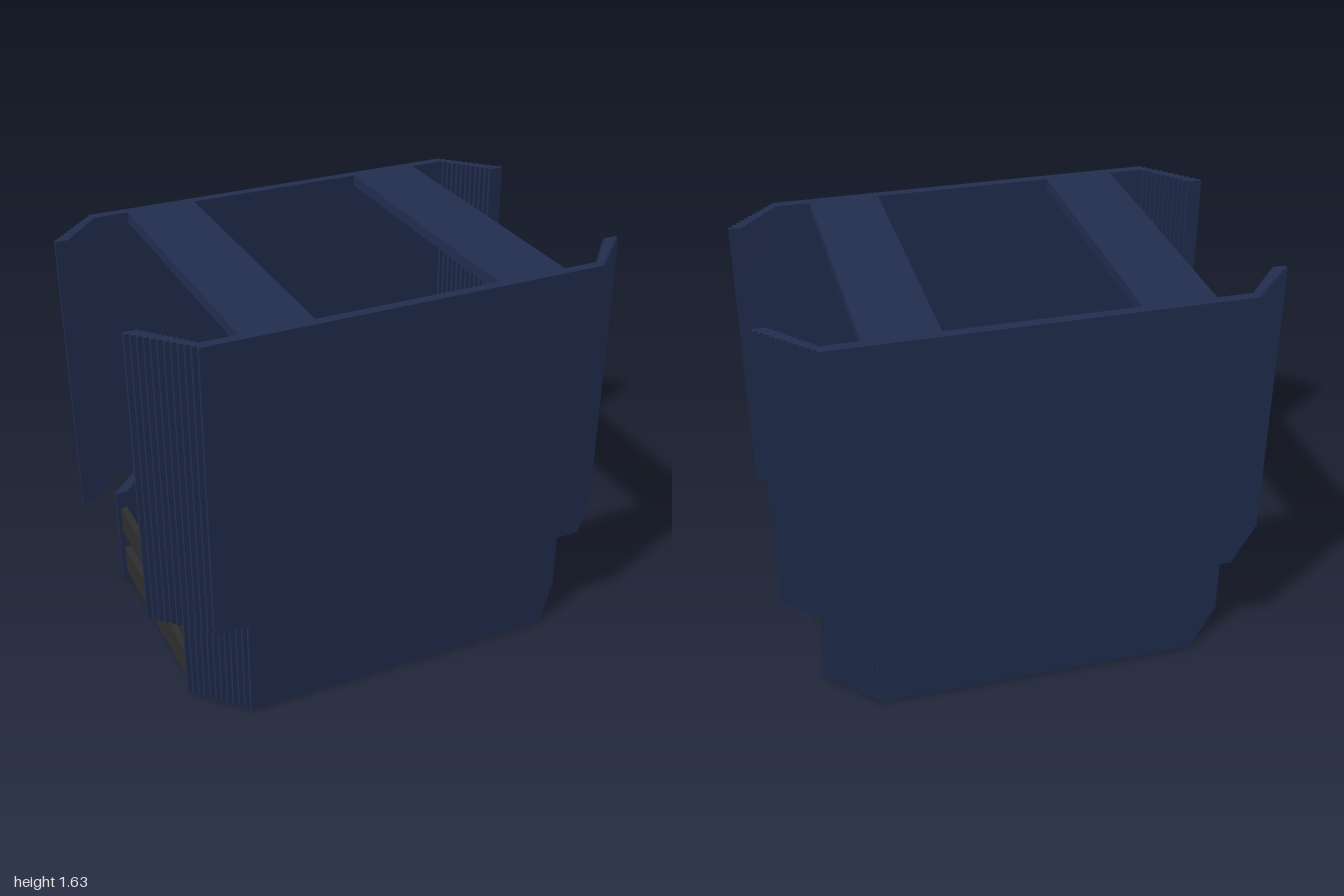
import * as THREE from 'three';

const navy = new THREE.MeshStandardMaterial({ color: 0x222d4f });
navy.name = 'navy';
const charcoal = new THREE.MeshStandardMaterial({ color: 0x2e2e2e });
charcoal.name = 'charcoal';

const STEPS = 11;

// Upright panel whose two ends fold back in small stair steps
function foldedPanel(flatX, endX, outerZ, endZ, bottom, top) {
  const dx = (endX - flatX) / STEPS;
  const dz = (outerZ - endZ) / (STEPS + 1);
  const thick = 0.04;
  const half = [];
  // outer stair, from the flat face to the tip
  for (let k = 0; k <= STEPS; k++) {
    half.push([flatX + k * dx, outerZ - k * dz]);
    half.push([flatX + k * dx, outerZ - (k + 1) * dz]);
  }
  // inner stair, from the tip back to the flat face
  const innerFlat = flatX - 0.02;
  const innerEnd = endX - 0.058;
  const innerZ = outerZ - thick;
  const sx = (innerEnd - innerFlat) / STEPS;
  const sz = (innerZ - endZ) / STEPS;
  for (let k = STEPS; k > 0; k--) {
    half.push([innerFlat + k * sx, innerZ - k * sz]);
    half.push([innerFlat + k * sx, innerZ - (k - 1) * sz]);
  }
  half.push([innerFlat, innerZ]);
  const mirrored = half.map(([x, z]) => [-x, z]).reverse();
  const shape = new THREE.Shape(
    [...half, ...mirrored].map(([x, z]) => new THREE.Vector2(x, -z))
  );
  const geo = new THREE.ExtrudeGeometry(shape, { depth: top - bottom, bevelEnabled: false });
  geo.rotateX(-Math.PI / 2);
  geo.translate(0, bottom, 0);
  return geo;
}

function addMesh(parent, geo, material, name) {
  const mesh = new THREE.Mesh(geo, material);
  mesh.name = name;
  parent.add(mesh);
  return mesh;
}

function addBox(parent, material, name, w, h, d, x, y, z) {
  addMesh(parent, new THREE.BoxGeometry(w, h, d), material, name).position.set(x, y, z);
}

export function createModel() {
  const model = new THREE.Group();
  model.name = 'foldedPanelFrame';

  // Front and back panels: tall upper one overlapping a narrower lower one
  const upper = foldedPanel(0.805, 1.0, 0.65, 0.43, 0.43, 1.635);
  const lower = foldedPanel(0.665, 0.857, 0.635, 0.417, 0, 0.445);
  for (const [side, turn] of [['front', 0], ['back', Math.PI]]) {
    addMesh(model, upper, navy, side + 'UpperPanel').rotation.y = turn;
    addMesh(model, lower, navy, side + 'LowerPanel').rotation.y = turn;
  }

  for (const [side, s] of [['left', 1], ['right', -1]]) {
    // Top beams joining the panels
    addBox(model, navy, side + 'TopBeam', 0.285, 0.045, 1.22, s * 0.508, 1.6125, 0);
    // Side rails between the lower folds
    addBox(model, charcoal, side + 'LowerRail', 0.028, 0.125, 0.86, s * 0.827, 0.0975, 0);
    addBox(model, charcoal, side + 'UpperRail', 0.028, 0.125, 0.86, s * 0.827, 0.3025, 0);
  }
  return model;
}
